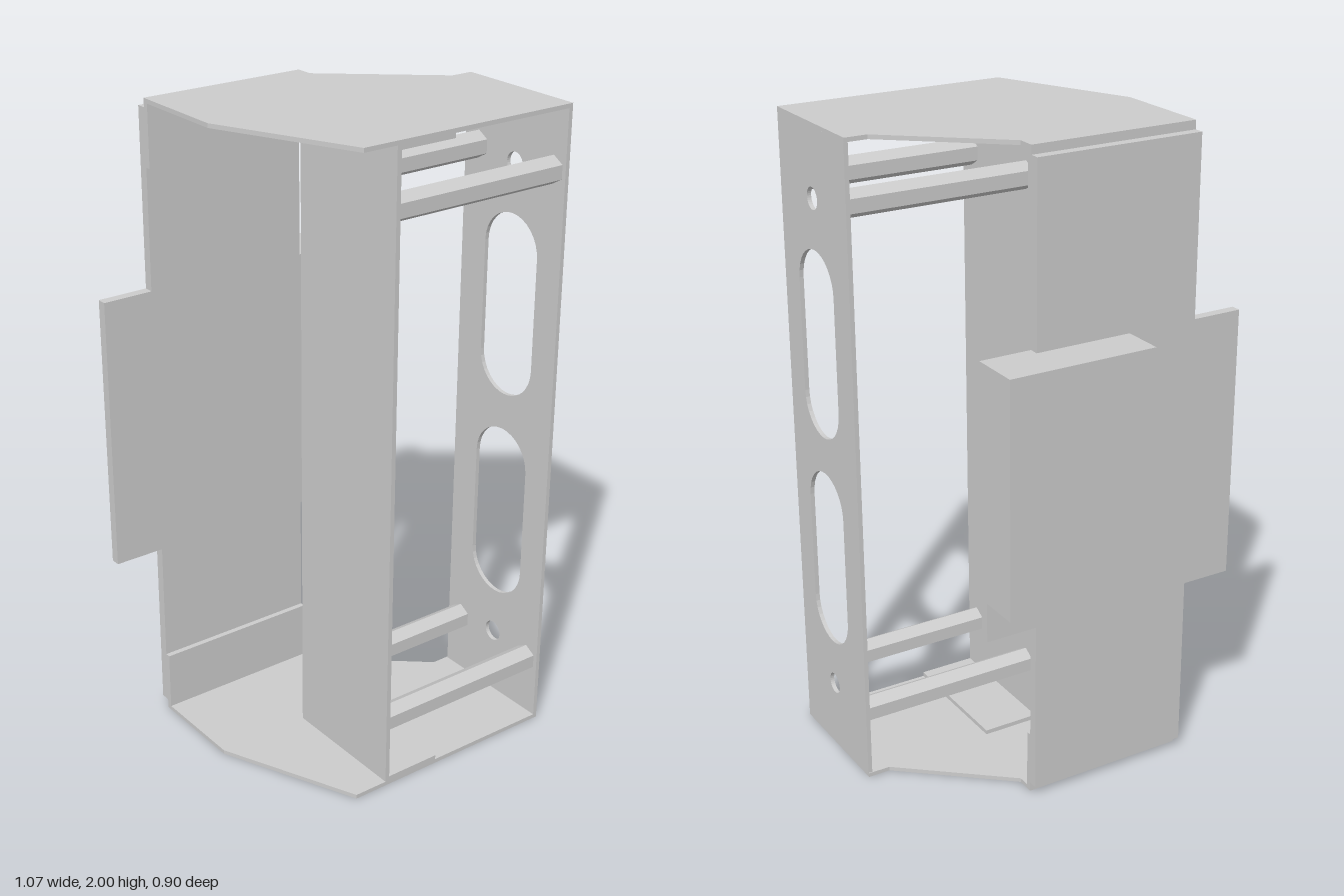
import * as THREE from 'three';

const material = new THREE.MeshStandardMaterial({ color: 0xcccccc, flatShading: true });

function add(parent, name, geometry) {
  const mesh = new THREE.Mesh(geometry, material);
  mesh.name = name;
  parent.add(mesh);
  return mesh;
}

// Box given by its lower and upper corners
function block(parent, name, [x0, y0, z0], [x1, y1, z1]) {
  const mesh = add(parent, name, new THREE.BoxGeometry(x1 - x0, y1 - y0, z1 - z0));
  mesh.position.set((x0 + x1) / 2, (y0 + y1) / 2, (z0 + z1) / 2);
  return mesh;
}

function outline(points) {
  return new THREE.Shape(points.map(([x, y]) => new THREE.Vector2(x, y)));
}

function extrude(shape, depth) {
  return new THREE.ExtrudeGeometry(shape, { depth, bevelEnabled: false, curveSegments: 8 });
}

// Upright slot with round ends; equal y0 and y1 give a round hole
function slot(z, y0, y1, r) {
  const path = new THREE.Path();
  path.absarc(z, y1, r, 0, Math.PI, false);
  path.absarc(z, y0, r, Math.PI, Math.PI * 2, false);
  path.closePath();
  return path;
}

export function createModel() {
  const model = new THREE.Group();
  model.name = 'rackCase';
  const t = 0.013;

  // Top and bottom covers, drawn in x and z
  const coverShape = outline([
    [-0.38, -0.295], [0.15, -0.295], [0.15, -0.24], [0.465, 0.025],
    [0.535, 0.025], [0.535, 0.45], [-0.19, 0.45], [-0.38, 0.025],
  ]);
  const coverGeometry = extrude(coverShape, t).rotateX(Math.PI / 2);
  add(model, 'topCover', coverGeometry).position.y = 2;
  add(model, 'bottomCover', coverGeometry).position.y = t;

  // Bent lips of the covers, in front of the back panel
  block(model, 'topCoverLip', [-0.38, 1.8, -0.295], [0.15, 2 - t, -0.278]);
  block(model, 'bottomCoverLip', [-0.38, t, -0.295], [0.15, 0.2, -0.278]);

  // Side plate with two slots and two screw holes, drawn in z and y
  const sideShape = outline([[0.028, t], [0.45, t], [0.45, 2 - t], [0.028, 2 - t]]);
  sideShape.holes.push(
    slot(0.243, 0.485, 0.83, 0.112),
    slot(0.243, 1.17, 1.52, 0.112),
    slot(0.243, 0.223, 0.223, 0.033),
    slot(0.243, 1.782, 1.782, 0.033),
  );
  const side = add(model, 'sidePlate', extrude(sideShape, t).rotateY(-Math.PI / 2));
  side.geometry.scale(1, 1, 1);
  side.position.x = 0.535;

  // Inner wall with its bent flanges
  block(model, 'innerWall', [-0.08, t, 0.028], [-0.066, 2 - t, 0.45]);
  block(model, 'innerWallTopFlange', [-0.066, 1.973, 0.028], [0.115, 2 - t, 0.45]);
  block(model, 'innerWallBottomFlange', [-0.066, t, 0.028], [0.115, 0.027, 0.45]);

  // Hexagonal mounting rails between the wall and the side plate
  const x0 = -0.066, x1 = 0.522;
  const railGeometry = new THREE.CylinderGeometry(0.042, 0.042, x1 - x0, 6).rotateZ(Math.PI / 2);
  // A corner of the section has to point up
  const top = railGeometry.attributes.position;
  let highest = 0;
  for (let i = 0; i < top.count; i++) highest = Math.max(highest, top.getY(i));
  if (highest < 0.041) railGeometry.rotateX(Math.PI / 6);
  for (const y of [0.205, 1.802]) {
    for (const z of [0.4, 0.085]) {
      add(model, 'rail', railGeometry).position.set((x0 + x1) / 2, y, z);
    }
  }

  // Back panel with a wider middle band
  const backShape = outline([
    [-0.38, 0.03], [0.15, 0.03], [0.15, 0.58], [0.313, 0.58], [0.313, 1.43], [0.15, 1.43],
    [0.15, 1.973], [-0.38, 1.973], [-0.38, 1.43], [-0.538, 1.43], [-0.538, 0.58], [-0.38, 0.58],
  ]);
  add(model, 'backPanel', extrude(backShape, 0.03)).position.z = -0.325;

  // Box on the back
  block(model, 'backBox', [-0.155, 0.705, -0.455], [0.313, 1.43, -0.325]);

  return model;
}
